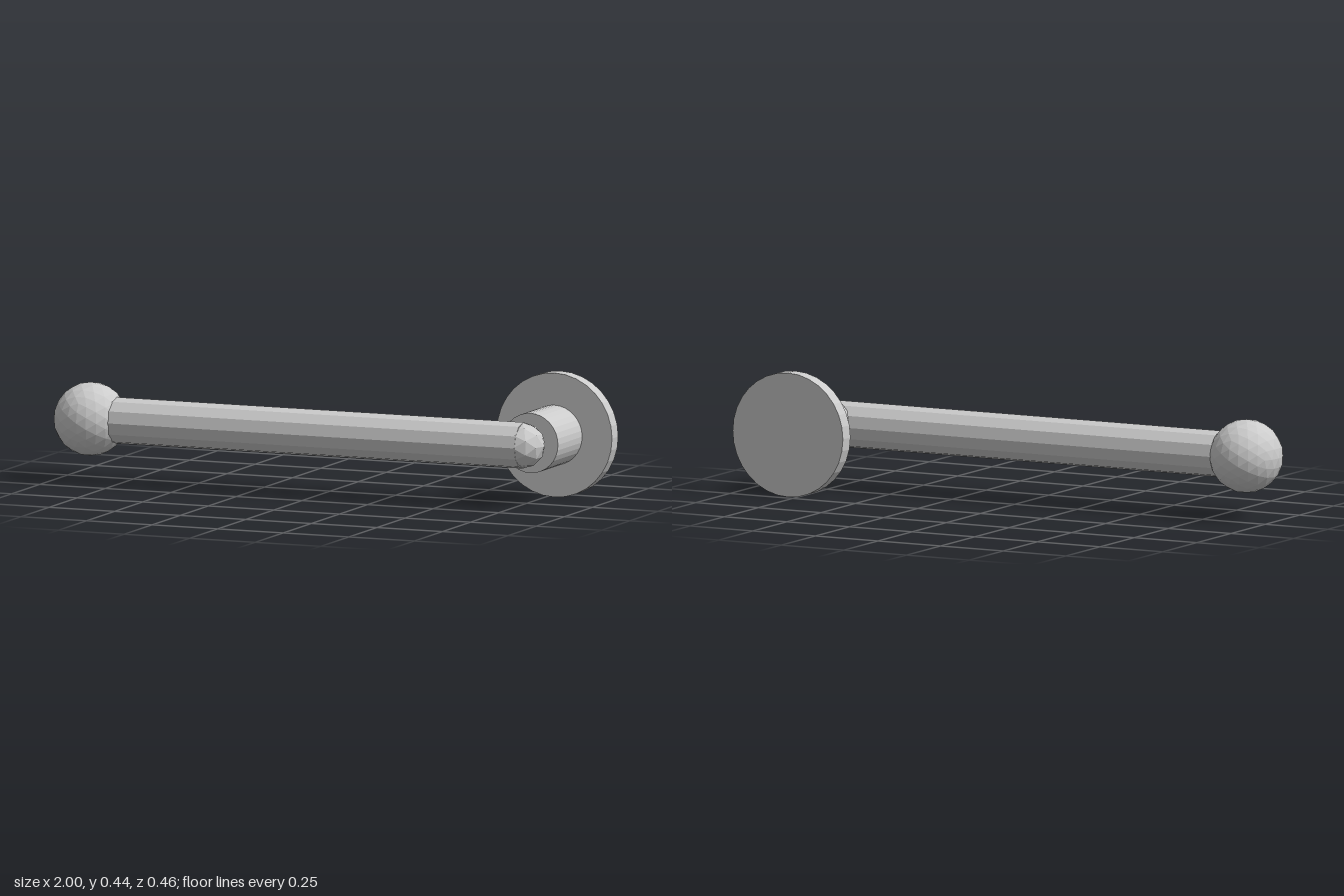
import * as THREE from 'three';

export function createModel() {
  const group = new THREE.Group();
  const material = new THREE.MeshStandardMaterial({ color: 0xcccccc, flatShading: true });
  const axisY = 0.22, barZ = 0.1, pivotX = 0.78, knobX = -0.87;

  function add(name, geometry, x, z) {
    const mesh = new THREE.Mesh(geometry, material);
    mesh.name = name;
    mesh.position.set(x, axisY, z);
    group.add(mesh);
    return mesh;
  }

  // Round disc or post along z, between two depths
  function zCylinder(name, radius, z0, z1) {
    const geometry = new THREE.CylinderGeometry(radius, radius, z1 - z0, 32);
    geometry.rotateX(Math.PI / 2);
    return add(name, geometry, pivotX, (z0 + z1) / 2);
  }

  // Wall plate and the neck standing off it
  zCylinder('wallPlate', 0.22, -0.23, -0.175);
  zCylinder('neck', 0.106, -0.175, 0.04);

  // Twelve-sided lever bar along x
  const bar = new THREE.CylinderGeometry(0.082, 0.082, pivotX - knobX, 12);
  bar.rotateZ(Math.PI / 2);
  add('leverBar', bar, (pivotX + knobX) / 2, barZ);

  // Faceted rounded end and the larger ball at the free end
  add('barEnd', new THREE.IcosahedronGeometry(0.082, 1), pivotX - 0.005, barZ);
  add('ballKnob', new THREE.IcosahedronGeometry(0.13, 3), knobX, barZ);

  return group;
}
